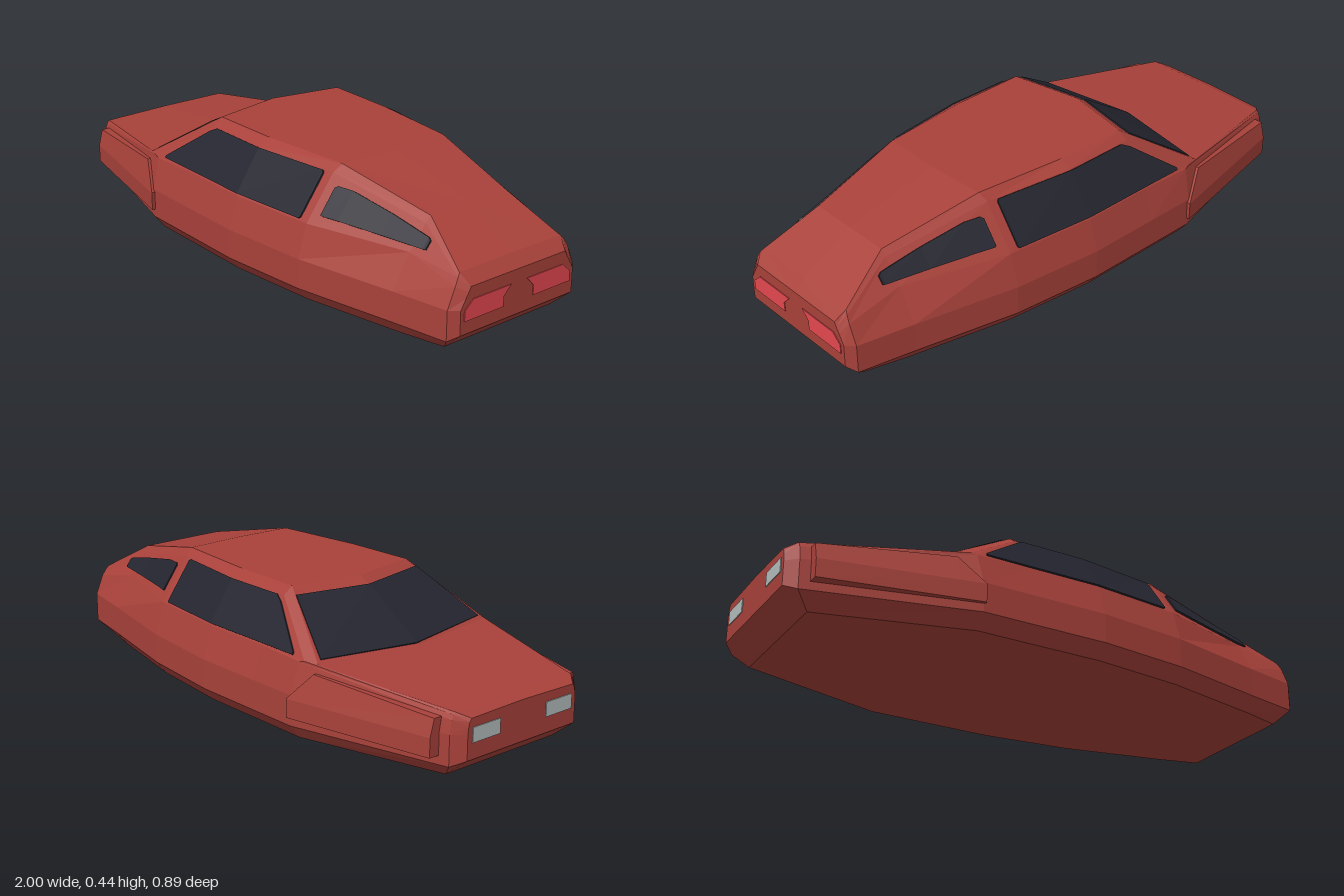
import * as THREE from 'three';

const mat = (name, color) => Object.assign(new THREE.MeshStandardMaterial({ color, flatShading: true }), { name });

// Skin a closed loop of cross-sections and cap both ends
function loft(rings) {
  const out = [];
  const tri = (...p) => p.forEach((v) => out.push(...v));
  const n = rings[0].length;
  for (let s = 0; s < rings.length - 1; s++) {
    for (let i = 0; i < n; i++) {
      const j = (i + 1) % n, a = rings[s], b = rings[s + 1];
      tri(a[i], b[i], b[j]);
      tri(a[i], b[j], a[j]);
    }
  }
  const first = rings[0], last = rings[rings.length - 1];
  for (let i = 1; i < n - 1; i++) {
    tri(first[0], first[i], first[i + 1]);
    tri(last[0], last[i + 1], last[i]);
  }
  const g = new THREE.BufferGeometry();
  g.setAttribute('position', new THREE.Float32BufferAttribute(out, 3));
  g.computeVertexNormals();
  return g;
}
const flip = ([x, y, z]) => [x, y, -z];
const mirror = (rings) => rings.map((r) => r.map(flip).reverse());
const lerp = THREE.MathUtils.lerp;

// Stations nose to tail: x, half width, shoulder xyz, roof rail xyz, roof edge xyz, centre xy
const stations = [
  [-0.997, 0.245, -0.997, 0.18, 0.242, -0.997, 0.195, 0.238, -0.997, 0.205, 0.23, -0.997, 0.21],
  [-0.96, 0.285, -0.96, 0.2, 0.277, -0.96, 0.215, 0.27, -0.96, 0.222, 0.262, -0.96, 0.225],
  [-0.39, 0.43, -0.4, 0.265, 0.4, -0.42, 0.27, 0.395, -0.47, 0.267, 0.38, -0.53, 0.265],
  [-0.2, 0.43, -0.2, 0.27, 0.395, -0.2, 0.42, 0.295, -0.2, 0.445, 0.26, -0.25, 0.445],
  [0.07, 0.43, 0.07, 0.27, 0.395, 0.07, 0.42, 0.295, 0.07, 0.445, 0.255, 0.07, 0.445],
  [0.4, 0.395, 0.4, 0.27, 0.36, 0.4, 0.42, 0.25, 0.41, 0.445, 0.22, 0.42, 0.445],
  [0.77, 0.315, 0.77, 0.27, 0.25, 0.77, 0.35, 0.185, 0.77, 0.37, 0.165, 0.77, 0.37],
  [0.97, 0.275, 0.97, 0.225, 0.245, 0.965, 0.25, 0.23, 0.96, 0.262, 0.22, 0.96, 0.265],
  [0.997, 0.245, 0.997, 0.19, 0.225, 0.997, 0.21, 0.213, 0.997, 0.225, 0.205, 0.997, 0.225],
];
const halves = stations.map((s) => {
  const [x, w] = s, end = Math.abs(x) > 0.99;
  return [
    end ? [x, 0.07, w] : [THREE.MathUtils.clamp(x, -0.91, 0.92), 0, w - 0.04],
    [x, end ? 0.07 : 0.05, w],
    [x, 0.155, w],
    s.slice(2, 5), s.slice(5, 8), s.slice(8, 11),
    [s[11], s[12], 0],
  ];
});

// Point on a body rail at a given x
function railAt(i, x) {
  let s = 2;
  while (s < 6 && halves[s + 1][i][0] < x) s++;
  const a = halves[s][i], b = halves[s + 1][i], t = (x - a[0]) / (b[0] - a[0]);
  return [x, lerp(a[1], b[1], t), lerp(a[2], b[2], t)];
}
// Point on the cabin side at x, y, pushed out by d
function onSide(x, y, d) {
  const a = railAt(3, x), b = railAt(4, x);
  return [x, y + d * 0.6, lerp(a[2], b[2], (y - a[1]) / (b[1] - a[1])) + d];
}

export function createModel() {
  const red = mat('body red', 0xa8413a);
  const glass = mat('dark glass', 0x252530);
  const lampRed = mat('tail light red', 0xe2474f);
  const lampGrey = mat('headlight grey', 0xb4bcbc);
  const car = new THREE.Group();
  car.name = 'hoverCar';
  const add = (name, geometry, material) => {
    const m = new THREE.Mesh(geometry, material);
    m.name = name;
    car.add(m);
    return m;
  };
  const addPair = (name, rings, material) => {
    add(name + 'Left', loft(rings), material);
    add(name + 'Right', loft(mirror(rings)), material);
  };

  // Body shell
  add('body', loft(halves.map((h) => [...h, ...h.slice(0, 6).reverse().map(flip)])), red);

  // Raised front side panels
  const fender = [[-0.925, 0.205], [-0.47, 0.24], [-0.385, 0.146]].map(([x, top]) => {
    const z = lerp(0.332, 0.443, (x + 0.925) / 0.54);
    const zt = z - (top - 0.145) * 0.27;
    return [[x, 0.08, z], [x, 0.145, z], [x, top, zt], [x, top, zt - 0.06], [x, 0.08, z - 0.06]];
  });
  addPair('frontSidePanel', fender, red);

  // Side windows as columns of x, bottom, top
  const pane = (cols) => cols.map(([x, lo, hi]) =>
    [onSide(x, lo, 0.005), onSide(x, hi, 0.005), onSide(x, hi, -0.003), onSide(x, lo, -0.003)]);
  addPair('sideWindow', pane([[-0.36, 0.275, 0.283], [-0.2, 0.275, 0.402], [-0.17, 0.275, 0.417],
    [0.07, 0.275, 0.417], [0.36, 0.275, 0.417], [0.367, 0.28, 0.41]]), glass);
  addPair('rearSideWindow', pane([[0.435, 0.3, 0.38], [0.445, 0.298, 0.387], [0.5, 0.297, 0.384],
    [0.66, 0.291, 0.352], [0.81, 0.286, 0.319], [0.82, 0.287, 0.312]]), glass);

  // Windscreen, bent along the centre line
  const shield = [[-0.457, 0.275, -0.36], [-0.523, 0.27, 0], [-0.457, 0.275, 0.36]].map(([x, y, z]) => {
    const tx = z ? -0.235 : -0.29, ty = z ? 0.421 : 0.419, tz = z * 0.76;
    const o = (px, py, pz, d) => [px - d * 0.6, py + d, pz];
    return [o(x, y, z, 0.004), o(tx, ty, tz, 0.004), o(tx, ty, tz, -0.004), o(x, y, z, -0.004)];
  });
  add('windscreen', loft(shield), glass);

  // Tail lights and headlights
  const tail = [[0.065, 0.115], [0.065, 0.15], [0.035, 0.182], [0.195, 0.182], [0.23, 0.15], [0.23, 0.115]];
  for (const side of [1, -1]) {
    const label = side > 0 ? 'Left' : 'Right';
    const shape = new THREE.Shape(tail.map(([z, y]) => new THREE.Vector2(-z * side, y)));
    const g = new THREE.ExtrudeGeometry(shape, { depth: 0.006, bevelEnabled: false });
    add('tailLight' + label, g.rotateY(Math.PI / 2), lampRed).position.x = 0.994;
    add('headlight' + label, new THREE.BoxGeometry(0.006, 0.05, 0.12), lampGrey)
      .position.set(-0.997, 0.15, 0.165 * side);
  }
  return car;
}
